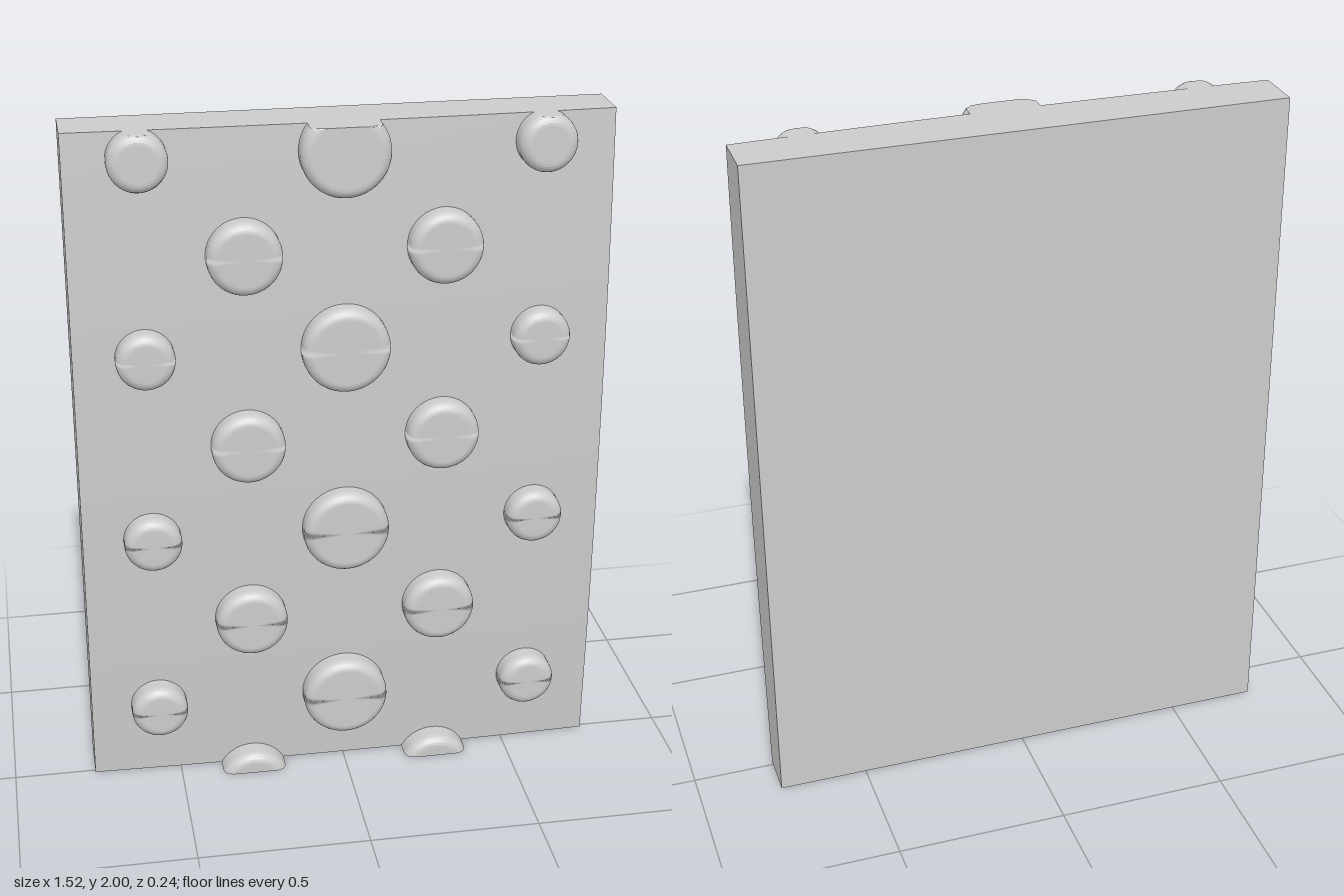
import * as THREE from 'three';

const W = 1.52, H = 2, BACK = -0.118;
const material = new THREE.MeshStandardMaterial({ color: 0xcccccc });

// Gently crowned front of the slab, and the parallel-ish surface of the stud tops
const slabFront = (x, y) => 0.061 - 0.029 * (y - 1.15) ** 2 - 0.012 * (x / 0.76) ** 2;
const studTop = (x, y) => 0.118 - 0.018 * (y - 1.08) ** 2 - 0.015 * x * x;

function makeSlab() {
  const geo = new THREE.BoxGeometry(W, H, 1, 16, 24, 1).translate(0, H / 2, 0);
  const p = geo.attributes.position;
  for (let i = 0; i < p.count; i++) {
    p.setZ(i, p.getZ(i) > 0 ? slabFront(p.getX(i), p.getY(i)) : BACK);
  }
  geo.computeVertexNormals();
  const mesh = new THREE.Mesh(geo, material);
  mesh.name = 'slab';
  return mesh;
}

// Round stud with a filleted rim, trimmed flush with the slab's top and bottom
function makeStud(cx, cy, radius) {
  const fillet = 0.03, steps = 6;
  const profile = [new THREE.Vector2(radius, -0.11)];
  for (let i = 0; i <= steps; i++) {
    const a = (i / steps) * Math.PI / 2;
    profile.push(new THREE.Vector2(radius - fillet * (1 - Math.cos(a)), -fillet * (1 - Math.sin(a))));
  }
  profile.push(new THREE.Vector2(0, 0));
  let geo = new THREE.LatheGeometry(profile, 48).rotateX(Math.PI / 2);
  const p = geo.attributes.position;
  const n = geo.attributes.normal;
  for (let i = 0; i < p.count; i++) {
    let x = p.getX(i), y = p.getY(i);
    const ringRadius = Math.hypot(x, y);
    const trimmed = THREE.MathUtils.clamp(cy + y, 0, H) - cy;
    if (trimmed !== y) {
      // slide the point to where its ring meets the trimming plane
      const half = Math.sqrt(Math.max(0, ringRadius ** 2 - trimmed ** 2));
      x = THREE.MathUtils.clamp(x, -half, half);
      y = trimmed;
      n.setXYZ(i, 0, Math.sign(cy - H / 2), 0);
    }
    p.setXYZ(i, cx + x, cy + y, studTop(cx + x, cy + y) + p.getZ(i));
  }
  if (cy - radius < 0 || cy + radius > H) {
    // crisp shading along the cut
    geo = geo.toNonIndexed();
    geo.computeVertexNormals();
  }
  const mesh = new THREE.Mesh(geo, material);
  mesh.name = 'stud';
  return mesh;
}

export function createModel() {
  const group = new THREE.Group();
  group.name = 'studdedPanel';
  group.add(makeSlab());

  // Staggered columns: large in the middle, smaller towards the edges
  const columns = [
    { x: 0, radius: 0.125, y: 0.235 },
    { x: 0.28, radius: 0.105, y: -0.045 },
    { x: 0.56, radius: 0.083, y: 0.235 },
  ];
  const studs = new THREE.Group();
  studs.name = 'studs';
  for (const { x, radius, y } of columns) {
    for (let row = 0; row < 4; row++) {
      for (const side of x ? [-1, 1] : [1]) {
        studs.add(makeStud(side * x, y + row * 0.563, radius));
      }
    }
  }
  group.add(studs);
  return group;
}
